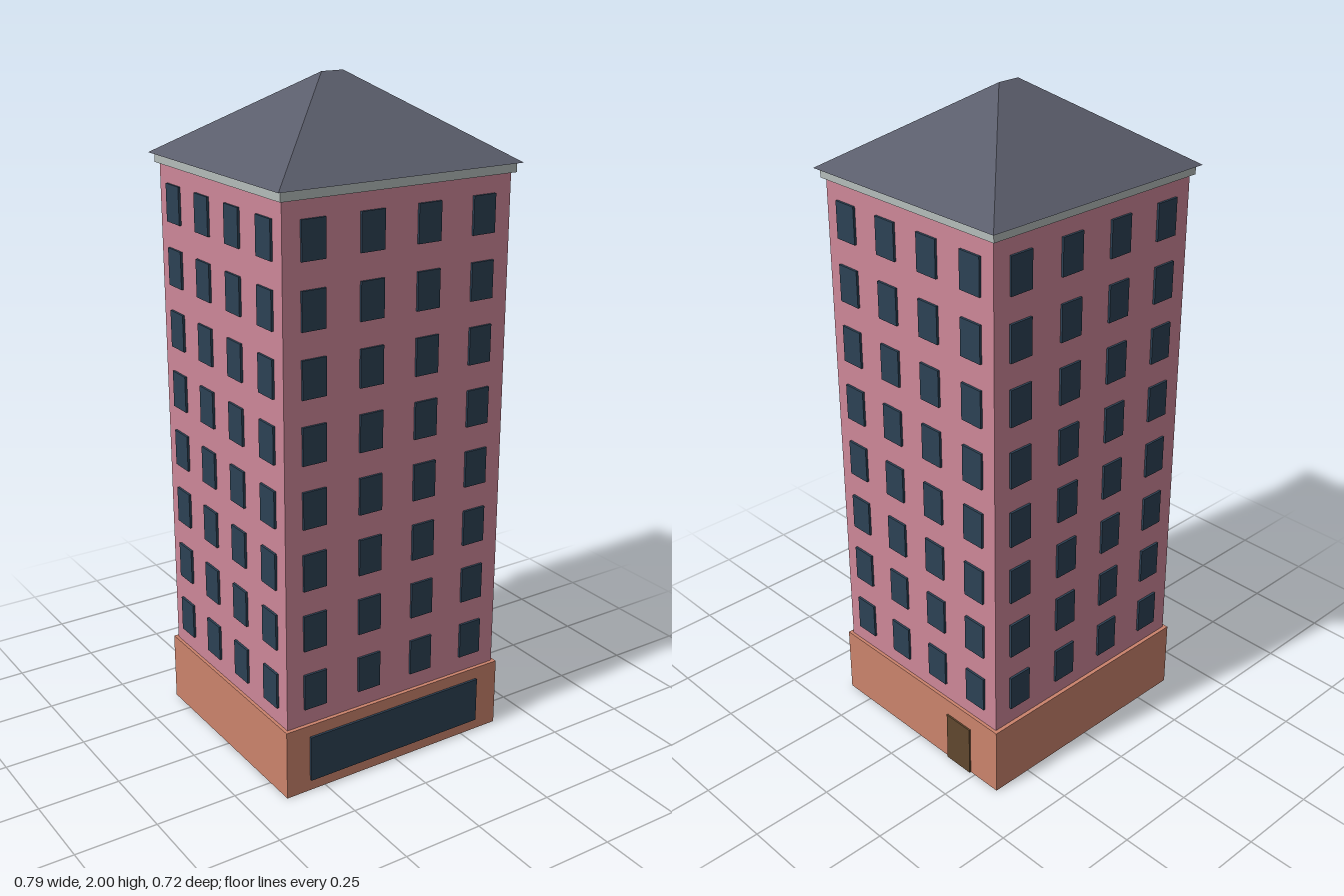
import * as THREE from 'three';

const material = (name, color) => {
  const m = new THREE.MeshStandardMaterial({ color });
  m.name = name;
  return m;
};

export function createModel() {
  const pink = material('pinkWall', 0xcd8798);
  const clay = material('clayBase', 0xcb836c);
  const slate = material('slateRoof', 0x5a5d6b);
  const stone = material('paleStone', 0xb4bcba);
  const glass = material('darkGlass', 0x2c4154);
  const wood = material('doorWood', 0x60472e);

  const model = new THREE.Group();
  model.name = 'towerBlock';

  const box = (name, mat, w, h, d, x, y, z, parent = model) => {
    const mesh = new THREE.Mesh(new THREE.BoxGeometry(w, h, d), mat);
    mesh.name = name;
    mesh.position.set(x, y, z);
    parent.add(mesh);
    return mesh;
  };

  // Stacked masses
  const halfX = 0.37, halfZ = 0.333;
  box('groundFloor', clay, 0.76, 0.215, 0.69, 0, 0.1075, 0);
  box('tower', pink, halfX * 2, 1.525, halfZ * 2, 0, 0.9725, 0);
  box('cornice', stone, 0.76, 0.027, 0.69, 0, 1.7485, 0);

  // Shop window and side door
  box('shopWindow', glass, 0.604, 0.143, 0.009, 0, 0.1065, 0.3475);
  box('sideDoor', wood, 0.009, 0.163, 0.1, 0.3805, 0.0815, -0.182);

  // Window grid on each of the four walls
  const walls = [
    ['front', 0, halfZ, 0.1848],
    ['left', Math.PI / 2, halfX, 0.1665],
    ['back', Math.PI, halfZ, 0.1848],
    ['right', -Math.PI / 2, halfX, 0.1665],
  ];
  for (const [side, angle, distance, pitch] of walls) {
    const wall = new THREE.Group();
    wall.name = side + 'Windows';
    wall.rotation.y = angle;
    for (let floor = 0; floor < 8; floor++) {
      for (let col = 0; col < 4; col++) {
        box('window', glass, 0.075, 0.11, 0.009,
          (col - 1.5) * pitch, 0.322 + floor * 0.1866, distance + 0.0025, wall);
      }
    }
    model.add(wall);
  }

  // Hipped roof: a box whose top is drawn in to a short ridge
  const roofGeo = new THREE.BoxGeometry(0.786, 0.238, 0.716);
  const p = roofGeo.attributes.position;
  for (let i = 0; i < p.count; i++) {
    if (p.getY(i) > 0) {
      p.setX(i, Math.sign(p.getX(i)) * 0.035);
      p.setZ(i, 0);
    }
  }
  const flatRoof = roofGeo.toNonIndexed();
  flatRoof.computeVertexNormals();
  const roof = new THREE.Mesh(flatRoof, slate);
  roof.name = 'hippedRoof';
  roof.position.y = 1.881;
  model.add(roof);

  return model;
}
